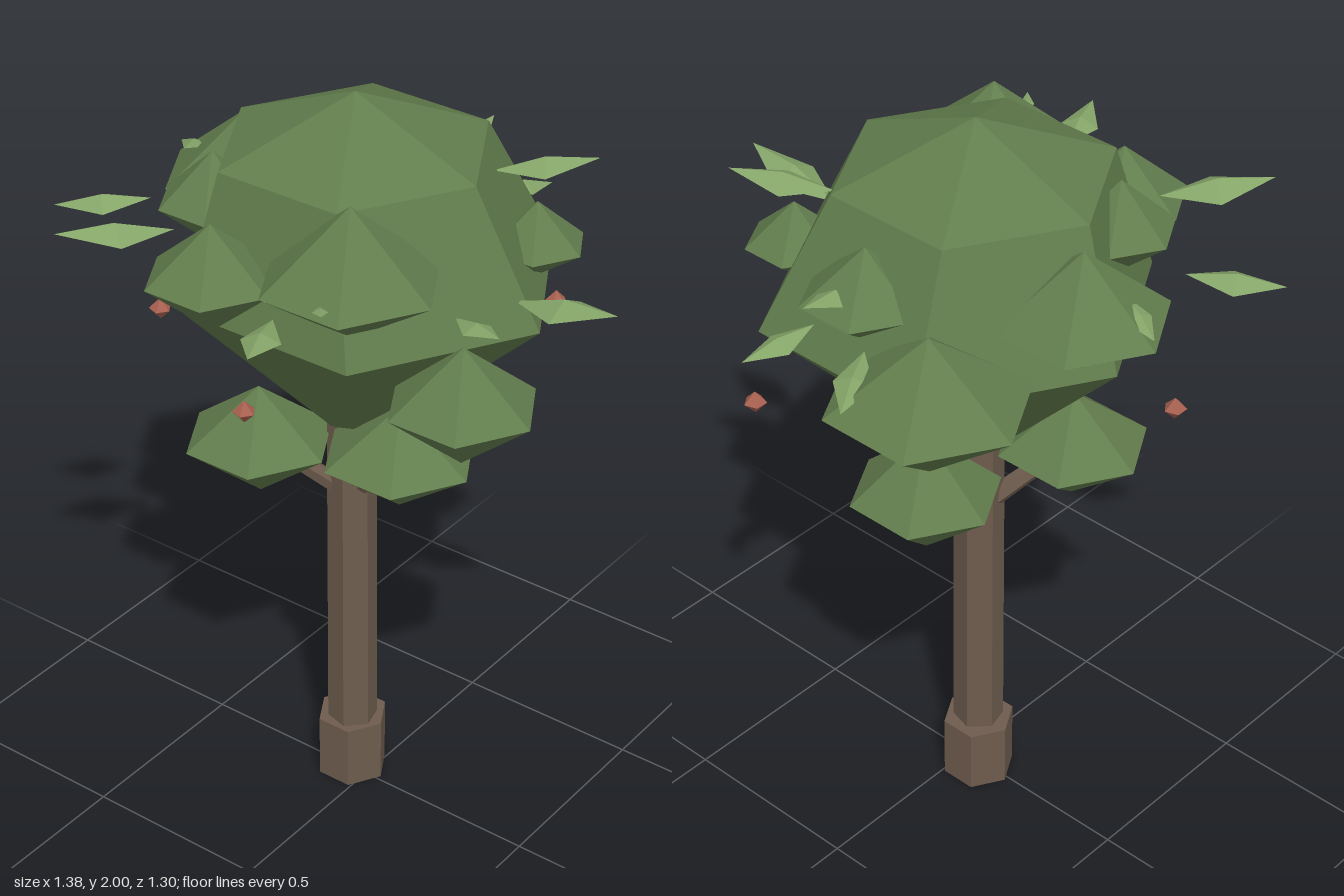
import * as THREE from 'three';

const paint = (color, side = THREE.FrontSide) =>
  new THREE.MeshStandardMaterial({ color, flatShading: true, side });

const bark = paint(0x6e5c4e);
const foliage = paint(0x627d4d);
const leafGreen = paint(0x84a468, THREE.DoubleSide);
const fruitRed = paint(0xa8604f);

// Faceted solid turned from a bottom-to-top profile of [radius, y]
function turned(profile, sides = 6) {
  const points = profile.map(([r, y]) => new THREE.Vector2(r, y));
  return new THREE.LatheGeometry(points, sides, Math.PI / 2);
}

// Straight six-sided limb between two points
function limb(from, to, r0, r1) {
  const a = new THREE.Vector3(...from), b = new THREE.Vector3(...to);
  const dir = b.clone().sub(a);
  const mesh = new THREE.Mesh(new THREE.CylinderGeometry(r1, r0, dir.length(), 6), bark);
  mesh.position.copy(a).add(b).multiplyScalar(0.5);
  mesh.quaternion.setFromUnitVectors(new THREE.Vector3(0, 1, 0), dir.normalize());
  return mesh;
}

// Folded diamond leaf, one unit long towards +z
function leafGeometry() {
  const base = [0, 0, 0], tip = [0, 0, 1], ridge = [0, 0.08, 0.5];
  const left = [0.23, -0.04, 0.48], right = [-0.23, -0.04, 0.48];
  const faces = [base, left, ridge, ridge, left, tip, base, ridge, right, ridge, tip, right];
  const geometry = new THREE.BufferGeometry();
  geometry.setAttribute('position', new THREE.Float32BufferAttribute(faces.flat(), 3));
  geometry.computeVertexNormals();
  return geometry;
}

export function createModel() {
  const tree = new THREE.Group();
  const add = (mesh, name, x = 0, y = 0, z = 0) => {
    mesh.name = name;
    mesh.position.add(new THREE.Vector3(x, y, z));
    tree.add(mesh);
    return mesh;
  };
  const cx = -0.055, cz = -0.013;

  // Trunk and its wider foot
  const rad = THREE.MathUtils.degToRad;
  add(new THREE.Mesh(new THREE.CylinderGeometry(0.095, 0.095, 0.18, 6, 1, false, rad(30)), bark),
    'trunkFoot', cx, 0.09, cz);
  add(new THREE.Mesh(new THREE.CylinderGeometry(0.063, 0.066, 1.1, 6, 1, false, rad(15)), bark),
    'trunk', cx + 0.005, 0.65, cz + 0.005);

  // Main crown: shallow cap, wide girdle set slightly off centre, conical underside
  const crown = turned([[0, -0.49], [0.49, 0], [0.346, 0.343], [0, 0.485]]);
  const p = crown.attributes.position;
  for (let i = 0; i < p.count; i++) {
    if (Math.abs(p.getY(i)) < 0.01) {
      p.setX(i, p.getX(i) + 0.025);
      p.setZ(i, p.getZ(i) - 0.03);
    }
  }
  add(new THREE.Mesh(crown, foliage), 'crown', -0.045, 1.515, -0.018);

  // Foliage clumps: x, y, z of the girdle, radius, rise, drop
  const clumps = [
    [0.165, 1.70, 0.28, 0.225, 0.19, 0.15],
    [-0.155, 1.65, 0.39, 0.165, 0.14, 0.14],
    [-0.31, 1.72, 0.19, 0.14, 0.13, 0.12],
    [-0.42, 1.65, -0.07, 0.215, 0.175, 0.14],
    [-0.27, 1.53, -0.42, 0.25, 0.17, 0.2],
    [-0.03, 1.68, -0.37, 0.16, 0.13, 0.12],
    [0.32, 1.62, -0.25, 0.125, 0.11, 0.09],
    [0.385, 1.38, 0.14, 0.19, 0.155, 0.16],
  ];
  // Low clumps, each carried by a branch
  const lowClumps = [
    [-0.215, 1.07, 0.155, 0.195, 0.15, 0.155],
    [0.14, 1.10, 0.05, 0.2, 0.14, 0.145],
    [-0.12, 1.11, -0.275, 0.19, 0.17, 0.165],
  ];
  for (const [x, y, z, r, rise, drop] of [...clumps, ...lowClumps]) {
    add(new THREE.Mesh(turned([[0, -drop], [r, 0], [0, rise]]), foliage), 'foliageClump', x, y, z);
  }
  for (const [x, y, z] of lowClumps) {
    add(limb([cx, 0.88, cz], [x, y, z], 0.028, 0.02), 'branch');
  }

  // Loose leaves: base point, then tip
  const leaves = [
    [[0.41, 1.59, -0.03], [0.69, 1.645, -0.03]],
    [[0.21, 1.79, -0.22], [0.42, 1.83, -0.36]],
    [[0.06, 1.6, -0.45], [0.115, 1.56, -0.63]],
    [[-0.02, 1.7, -0.36], [-0.02, 1.735, -0.56]],
    [[-0.1, 1.6, -0.45], [-0.2, 1.57, -0.63]],
    [[-0.5, 1.67, 0.2], [-0.69, 1.65, 0.34]],
    [[-0.29, 1.72, 0.36], [-0.465, 1.745, 0.58]],
    [[0.09, 1.66, 0.47], [0.17, 1.675, 0.66]],
    [[0.34, 1.585, 0.11], [0.5, 1.61, 0.165]],
    [[-0.5, 1.72, -0.02], [-0.63, 1.68, -0.07]],
    [[0.2, 1.72, 0.44], [0.25, 1.735, 0.5]],
  ];
  const leafShape = leafGeometry();
  for (const [from, to] of leaves) {
    const leaf = add(new THREE.Mesh(leafShape, leafGreen), 'leaf', ...from);
    const tip = new THREE.Vector3(...to);
    leaf.scale.setScalar(tip.distanceTo(leaf.position));
    leaf.lookAt(tip);
  }

  // Small hanging fruit
  const fruitShape = turned([[0, -0.03], [0.029, 0], [0, 0.03]], 5);
  for (const at of [[-0.53, 1.33, 0.15], [-0.055, 1.33, 0.405], [0.23, 1.32, -0.49]]) {
    add(new THREE.Mesh(fruitShape, fruitRed), 'fruit', ...at);
  }

  return tree;
}
